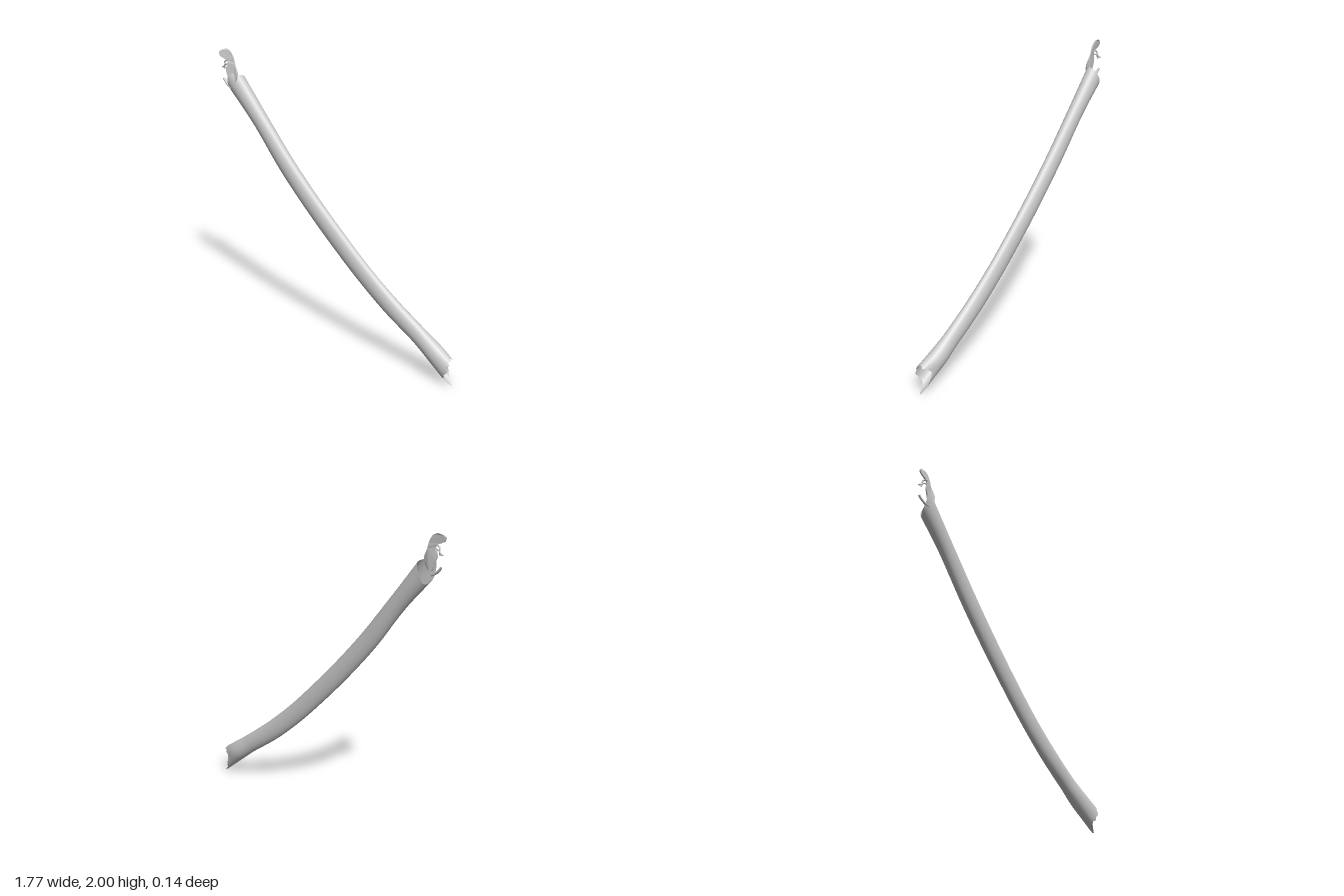
import * as THREE from 'three';

const SIDES = 24, RINGS = 72;

// Stations along the shaft: x, y, z of the centre, half width, half depth
const stations = [
  [-0.785, 1.765, 0.014, 0.068, 0.054],
  [-0.6, 1.535, 0.013, 0.058, 0.046],
  [-0.4, 1.27, 0.012, 0.063, 0.043],
  [-0.2, 1.035, 0.006, 0.065, 0.041],
  [0, 0.82, -0.001, 0.066, 0.039],
  [0.2, 0.62, -0.008, 0.066, 0.038],
  [0.4, 0.445, -0.015, 0.066, 0.041],
  [0.6, 0.295, -0.022, 0.063, 0.044],
  [0.73, 0.197, -0.02, 0.068, 0.054],
  [0.82, 0.128, -0.008, 0.073, 0.05],
];

// Ragged rim: how far each side of the wall runs past the end station,
// going round from the upper edge to front, lower edge and back
const upperRim = [0.03, 0.035, 0.045, 0.06, 0.075, 0.08, 0.075, 0.06, 0.04, 0.025, 0.01, 0,
  -0.015, -0.03, -0.035, -0.03, -0.02, -0.01, 0, 0.005, 0.015, 0.02, 0.02, 0.025];
const lowerRim = [-0.015, 0.0, -0.01, 0.015, 0.005, 0.03, 0.035, 0.03, 0.045, 0.035, 0.05, 0.08,
  0.112, 0.115, 0.07, 0.05, 0.03, 0.0, -0.02, -0.025, -0.015, -0.02, 0.0, -0.01];

const path = new THREE.CatmullRomCurve3(stations.map(s => new THREE.Vector3(s[0], s[1], s[2])));
const size = new THREE.CatmullRomCurve3(stations.map(s => new THREE.Vector3(s[3], s[4], 0)));

// Point on the shaft wall; scale shrinks the section towards its centre
function wallPoint(t, j, scale = 1) {
  const c = path.getPoint(t), h = size.getPoint(t), d = path.getTangent(t);
  d.z = 0;
  d.normalize();
  const a = j / SIDES * Math.PI * 2;
  const w = Math.cos(a) * h.x * scale;
  const up = Math.max(0, 1 - t / 0.1) ** 1.5, low = Math.max(0, 1 - (1 - t) / 0.1) ** 1.5;
  const shift = scale === 1 ? lowerRim[j % SIDES] * low - upperRim[j % SIDES] * up : 0;
  return [c.x - d.y * w + d.x * shift, c.y + d.x * w + d.y * shift, c.z + Math.sin(a) * h.y * scale];
}

// Joins closed rings of points into a smooth skin
function skin(rings) {
  const index = [];
  for (let i = 0; i < rings.length - 1; i++) {
    for (let j = 0; j < SIDES; j++) {
      const k = (j + 1) % SIDES, a = i * SIDES, b = a + SIDES;
      index.push(a + j, a + k, b + j, a + k, b + k, b + j);
    }
  }
  const g = new THREE.BufferGeometry();
  g.setAttribute('position', new THREE.Float32BufferAttribute(rings.flat(2), 3));
  g.setIndex(index);
  g.computeVertexNormals();
  return g;
}

const ring = (t, scale) => Array.from({ length: SIDES }, (_, j) => wallPoint(t, j, scale));

// Thin sheet cut from an outline and curved to follow the front wall
function sheet(points) {
  const shape = new THREE.Shape();
  shape.moveTo(...points[0]);
  shape.splineThru(points.slice(1).map(p => new THREE.Vector2(...p)));
  const g = new THREE.ExtrudeGeometry(shape, { depth: 0.01, bevelEnabled: false, curveSegments: 40 });
  const p = g.attributes.position;
  for (let i = 0; i < p.count; i++) {
    const s = ((p.getX(i) + 0.785) * 0.77 + (p.getY(i) - 1.765) * 0.64) / 0.07;
    p.setZ(i, p.getZ(i) + 0.055 - 0.02 * Math.min(1, (s - 0.3) ** 2));
  }
  g.computeVertexNormals();
  return g;
}

export function createModel() {
  const group = new THREE.Group();
  const bone = new THREE.MeshStandardMaterial({ color: 0xcccccc, side: THREE.DoubleSide });
  const add = (name, geometry) => {
    const m = new THREE.Mesh(geometry, bone);
    m.name = name;
    group.add(m);
  };

  // Long curved shaft, open at both broken ends
  add('shaft', skin(Array.from({ length: RINGS + 1 }, (_, i) => ring(i / RINGS, 1))));

  // Sunken floors inside the broken ends
  add('upperHollow', skin([[0.03, 0.97], [0.05, 0.8], [0.07, 0.45], [0.075, 0]].map(r => ring(...r))));
  add('lowerHollow', skin([[0.955, 0.97], [0.94, 0.8], [0.925, 0.45], [0.92, 0]].map(r => ring(...r))));

  // Splintered tongue standing up from the front wall
  add('upperTongue', sheet([
    [-0.765, 1.8], [-0.762, 1.85], [-0.785, 1.9], [-0.8, 1.95], [-0.825, 1.988], [-0.86, 2.0],
    [-0.897, 1.982], [-0.893, 1.955], [-0.868, 1.94], [-0.838, 1.925], [-0.836, 1.9],
    [-0.845, 1.865], [-0.832, 1.82], [-0.815, 1.775], [-0.79, 1.765],
  ]));

  // Small hooked splinters hanging off the tongue, and one on the lower corner
  const splinters = [
    [[-0.835, 1.93, 0.057], [-0.862, 1.918, 0.05], [-0.868, 1.89, 0.045], [-0.893, 1.873, 0.043]],
    [[-0.842, 1.9, 0.057], [-0.862, 1.895, 0.05], [-0.872, 1.868, 0.045]],
    [[-0.81, 1.745, 0.055], [-0.84, 1.758, 0.05], [-0.865, 1.778, 0.045], [-0.883, 1.8, 0.042]],
  ];
  splinters.forEach((pts, i) => {
    const curve = new THREE.CatmullRomCurve3(pts.map(p => new THREE.Vector3(...p)));
    add('splinter' + (i + 1), new THREE.TubeGeometry(curve, 12, i === 2 ? 0.008 : 0.005, 6));
  });
  return group;
}
